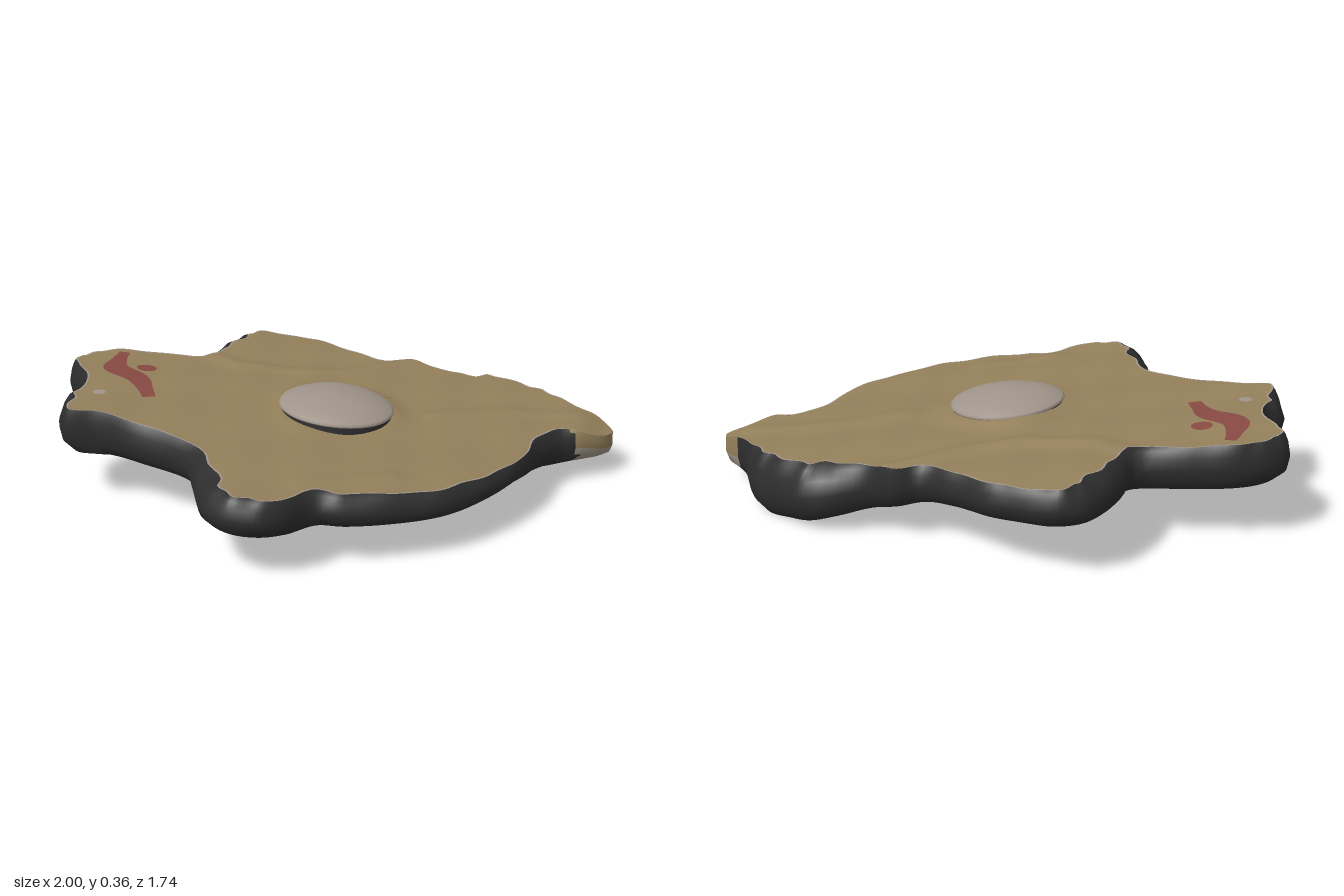
import * as THREE from 'three';

const mat = (name, color) => {
  const m = new THREE.MeshStandardMaterial({ color });
  m.name = name;
  return m;
};
const smooth = THREE.MathUtils.smoothstep;
const lerp = THREE.MathUtils.lerp;
const CX = 0.1, CZ = -0.05; // centre of the stone disc

// Outline control points: x, z, width of the dark rim seen from above
const OUTLINE = [
  -1, .04, .045, -.97, -.05, .04, -.9, -.12, .035, -.77, -.195, .035, -.6, -.3, .05,
  -.62, -.4, .07, -.635, -.53, .075, -.62, -.64, .07, -.55, -.71, .045, -.42, -.735, .032,
  -.3, -.745, .035, -.13, -.715, .035, .01, -.70, .03, .09, -.75, .01, .2, -.765, .035,
  .3, -.83, .09, .4, -.87, .09, .52, -.855, .06, .64, -.835, .06, .73, -.78, .05,
  .83, -.7, .008, .94, -.665, .004, .995, -.61, .003, .985, -.54, .004, .93, -.455, .015,
  .86, -.38, .05, .83, -.25, .035, .835, -.1, .02, .82, .05, .03, .78, .2, .035,
  .71, .36, .045, .6, .49, .05, .45, .61, .045, .36, .65, .055, .3, .77, .03,
  .23, .84, .05, .13, .865, .06, .02, .82, .075, -.08, .7, .075, -.2, .56, .05,
  -.42, .52, .03, -.58, .51, .02, -.7, .55, .025, -.77, .48, .05, -.82, .38, .06,
  -.81, .28, .035, -.88, .19, .03, -.96, .13, .04,
];
const N = 288;

// Distance to a polyline, used for the folds in the sheet
function lineDistance(x, z, pts) {
  let best = 9;
  for (let i = 0; i + 1 < pts.length; i++) {
    const [ax, az] = pts[i], dx = pts[i + 1][0] - ax, dz = pts[i + 1][1] - az;
    const t = THREE.MathUtils.clamp(((x - ax) * dx + (z - az) * dz) / (dx * dx + dz * dz), 0, 1);
    best = Math.min(best, Math.hypot(x - ax - t * dx, z - az - t * dz));
  }
  return best;
}
const FOLD_A = [[.12, -.72], [-.04, -.46], [-.18, -.34], [-.42, -.25], [-.55, -.28]];
const FOLD_B = [[.85, -.6], [.6, -.45], [.42, -.25]];
const FOLD_C = [[.5, .36], [.28, .58]];
const bump = (d, w) => Math.exp(-(d * d) / (w * w));

const plane = (x, z) => 0.275 - 0.083 * x + 0.02 * z;

// Upper surface: tilted, slightly rippled, folded, swelling round the disc
function topY(x, z) {
  const r = Math.hypot(x - CX, z - CZ), a = Math.atan2(z - CZ, x - CX);
  const ripple = 0.003 * Math.sin(9 * x + 14 * z) + 0.002 * Math.sin(23 * x - 11 * z + 1);
  return plane(x, z) + ripple
    + 0.014 * bump(lineDistance(x, z, FOLD_A), 0.04)
    + 0.01 * bump(lineDistance(x, z, FOLD_B), 0.05)
    + 0.008 * bump(lineDistance(x, z, FOLD_C), 0.04)
    + 0.028 * bump(r - 0.2, 0.06) * (0.5 - 0.5 * Math.cos(a - 0.9))
    - 0.03 * smooth(x, 0.88, 1);
}
// Underside: sags toward the back left corner
const bottomY = (x, z) => 0.143 - 0.041 * x
  + Math.min(z, 0) * 0.17 * smooth(x, -0.25, 0.68) + 0.045 * smooth(x, 0.72, 0.95);

// Closed skin through rings listed from below to above; pick() chooses the material
function skin(rings, materials, pick = () => 0) {
  const n = rings[0].length, pos = [], groups = materials.map(() => []);
  rings.forEach(r => r.forEach(p => pos.push(p[0], p[1], p[2])));
  for (let j = 0; j + 1 < rings.length; j++) {
    for (let i = 0; i < n; i++) {
      const k = (i + 1) % n;
      const a = j * n + i, b = j * n + k, c = a + n, d = b + n;
      groups[pick(j, rings[j][i])].push(a, c, b, b, c, d);
    }
  }
  const g = new THREE.BufferGeometry();
  g.setAttribute('position', new THREE.Float32BufferAttribute(pos, 3));
  g.setIndex(groups.flat());
  let start = 0;
  groups.forEach((list, m) => { g.addGroup(start, list.length, m); start += list.length; });
  g.computeVertexNormals();
  return new THREE.Mesh(g, materials);
}

// Flat ribbon draped on the sheet
function ribbon(points, widths, material) {
  const curve = new THREE.CatmullRomCurve3(points.map(([x, z], i) => new THREE.Vector3(x, widths[i], z)));
  const pos = [], index = [], steps = 40, across = 4;
  for (let i = 0; i <= steps; i++) {
    const p = curve.getPoint(i / steps), t = curve.getTangent(i / steps).setY(0).normalize();
    for (let j = 0; j <= across; j++) {
      const s = (j / across * 2 - 1) * p.y, x = p.x - t.z * s, z = p.z + t.x * s;
      pos.push(x, topY(x, z) + 0.004, z);
      const a = i * (across + 1) + j, b = a + across + 1;
      if (i < steps && j < across) index.push(a, b + 1, b, a, a + 1, b + 1);
    }
  }
  const g = new THREE.BufferGeometry();
  g.setAttribute('position', new THREE.Float32BufferAttribute(pos, 3));
  g.setIndex(index);
  g.computeVertexNormals();
  material.side = THREE.DoubleSide;
  return new THREE.Mesh(g, material);
}

// Small round patch draped on the sheet
function spot(x, z, radius, material) {
  const g = new THREE.CircleGeometry(radius, 20).rotateX(-Math.PI / 2).translate(x, 0, z);
  const p = g.attributes.position;
  for (let i = 0; i < p.count; i++) p.setY(i, topY(p.getX(i), p.getZ(i)) + 0.005);
  g.computeVertexNormals();
  return new THREE.Mesh(g, material);
}

export function createModel() {
  const dark = mat('dark rim', 0x2d2d2d), tan = mat('tan sheet', 0x94805b);
  const stone = mat('pale stone', 0xa0958a), red = mat('red mark', 0x884a43);
  const model = new THREE.Group();
  const add = (name, mesh) => { mesh.name = name; model.add(mesh); };

  const ctrl = [];
  for (let i = 0; i < OUTLINE.length; i += 3) ctrl.push(new THREE.Vector3(OUTLINE[i], OUTLINE[i + 2], OUTLINE[i + 1]));
  const curve = new THREE.CatmullRomCurve3(ctrl, true);
  const edge = Array.from({ length: N }, (_, i) => {
    const p = curve.getPoint(i / N), t = curve.getTangent(i / N).setY(0).normalize();
    const wobble = 1 + 0.12 * Math.sin(i * 0.9) + 0.1 * Math.sin(i * 0.37);
    return { x: p.x, z: p.z, nx: -t.z, nz: t.x, rim: Math.max(p.y, 0.003) * wobble };
  });
  const line = e => Math.min(0.007, e.rim * 0.2);
  // Ring inset from the outline at a fraction of the thickness
  const ring = (inset, f) => edge.map(e => {
    const d = inset(e), x = e.x + e.nx * d, z = e.z + e.nz * d;
    return [x, lerp(bottomY(x, z), topY(x, z), f), z];
  });
  // Ring shrunk toward the centre
  const shrink = (pts, k, height) => pts.map(([px, , pz]) => {
    const x = lerp(px, CX, k), z = lerp(pz, CZ, k);
    return [x, height(x, z), z];
  });

  // Dark base with rounded side; the pointed corner is bare
  const outer = ring(() => 0, 0.5);
  const baseRings = [
    ...[1, 0.7, 0.4, 0.2, 0.11].map(k => shrink(outer, k, bottomY)),
    shrink(outer, 0.045, (x, z) => bottomY(x, z) + 0.008),
    ring(() => 0.009, 0.24), outer,
    ring(e => 0.25 * e.rim, 0.76), ring(e => 0.55 * e.rim, 0.92),
    ring(e => e.rim - line(e), 1),
  ];
  add('base', skin(baseRings, [dark, stone, tan], (j, p) =>
    j > 4 && p[0] > 0.85 && p[2] > -0.71 && p[2] < -0.44 ? (j > 6 ? 2 : 1) : 0));

  // Pale line and tan sheet
  const sheetEdge = ring(e => e.rim, 1);
  add('sheetEdging', skin([baseRings.at(-1), sheetEdge], [stone]));
  const sheetRings = Array.from({ length: 45 }, (_, j) => shrink(sheetEdge, j / 44, topY));
  add('sheet', skin(sheetRings, [tan]));

  // Domed stone disc with a dark gap under its front edge
  const circle = (r, height) => Array.from({ length: 64 }, (_, i) => {
    const a = i / 64 * Math.PI * 2, w = r * (1 + 0.015 * Math.sin(3 * a + 1));
    const x = CX + w * Math.cos(a), z = CZ + w * Math.sin(a);
    return [x, plane(x, z) + height, z];
  });
  add('discGap', skin([circle(0.206, -0.01), circle(0.203, 0.024)], [dark]));
  add('disc', skin([[0.19, 0.02], [0.208, 0.022], [0.212, 0.028], [0.205, 0.036], [0.17, 0.052],
    [0.12, 0.066], [0.06, 0.075], [0, 0.078]].map(([r, h]) => circle(r, h)), [stone]));

  // Painted marks
  add('redStroke', ribbon([[-.84, -.08], [-.815, 0], [-.77, .09], [-.65, .13], [-.58, .19], [-.525, .25]],
    [.02, .03, .05, .045, .03, .025], red));
  add('redSpot', spot(-.68, .015, .038, red));
  add('paleSpot', spot(-.69, .33, .024, stone));
  return model;
}
